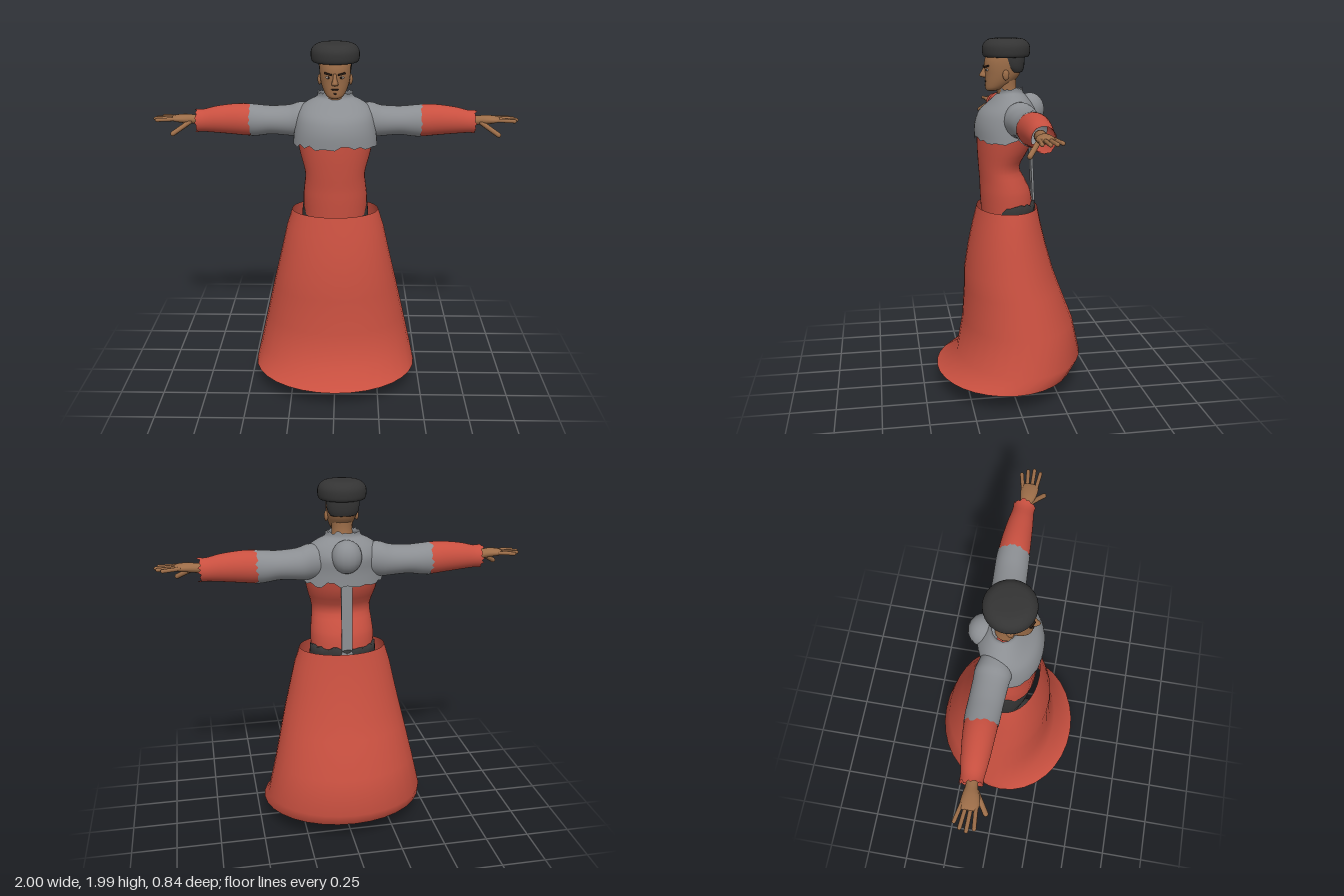
import * as THREE from 'three';

const paint = (name, color) => Object.assign(new THREE.MeshStandardMaterial({ color, side: THREE.DoubleSide }), { name });
const [X, Y, Z] = [0, 1, 2];

function spline(a, b, c, d, t) {
  return b + 0.5 * t * (c - a + t * (2 * a - 5 * b + 4 * c - d + t * (3 * (b - c) + d - a)));
}

// Loft of elliptical rings along an axis. Each section is
// [position, centre1, centre2, radius1, radius2] across the other two axes.
function loft(axis, sections, { sides = 24, steps = 3, flip = 1, close = false, start = 0, end = 0, floor = -9 } = {}) {
  const one = (axis + 2) % 3, two = (axis + 1) % 3;
  const at = i => sections[Math.min(sections.length - 1, Math.max(0, i))];
  const rings = [];
  for (let i = 0; i < sections.length - 1; i++) {
    for (let k = 0; k < steps; k++) {
      rings.push(at(i).map((_, j) => spline(at(i - 1)[j], at(i)[j], at(i + 1)[j], at(i + 2)[j], k / steps)));
    }
  }
  rings.push(at(sections.length));
  const points = [], index = [];
  rings.forEach(([p, c1, c2, r1, r2], r) => {
    const ragged = r === 0 ? start : r === rings.length - 1 ? end : 0;
    for (let i = 0; i < sides; i++) {
      const a = i / sides * Math.PI * 2, v = [0, 0, 0];
      v[axis] = flip * (p + ragged * Math.sin(i * i * 1.7 + i * 2.4));
      v[one] = c1 + r1 * Math.cos(a);
      v[two] = c2 + r2 * Math.sin(flip * a);
      v[1] = Math.max(v[1], floor);
      points.push(...v);
      if (r) {
        const n = (i + 1) % sides, lo = (r - 1) * sides, hi = r * sides;
        index.push(lo + i, hi + i, lo + n, lo + n, hi + i, hi + n);
      }
    }
  });
  if (close) {
    const last = (rings.length - 1) * sides;
    [[rings[0], 0], [rings.at(-1), last]].forEach(([ring, base], e) => {
      const v = [0, 0, 0], m = points.length / 3;
      v[axis] = flip * ring[0]; v[one] = ring[1]; v[two] = ring[2];
      v[1] = Math.max(v[1], floor);
      points.push(...v);
      for (let i = 0; i < sides; i++) {
        const n = (i + 1) % sides;
        index.push(m, ...(e ? [base + n, base + i] : [base + i, base + n]));
      }
    });
  }
  const g = new THREE.BufferGeometry();
  g.setAttribute('position', new THREE.Float32BufferAttribute(points, 3));
  g.setIndex(index);
  g.computeVertexNormals();
  return g;
}

function ball(x, y, z, rx, ry, rz) {
  return new THREE.SphereGeometry(1, 16, 12).scale(rx, ry, rz).translate(x, y, z);
}

function finger(a, b, r) {
  const from = new THREE.Vector3(...a), to = new THREE.Vector3(...b), dir = to.clone().sub(from);
  const turn = new THREE.Quaternion().setFromUnitVectors(new THREE.Vector3(0, 1, 0), dir.clone().normalize());
  const mid = from.add(to).multiplyScalar(0.5);
  return new THREE.CapsuleGeometry(r, dir.length() - 2 * r, 4, 8).applyQuaternion(turn).translate(mid.x, mid.y, mid.z);
}

export function createModel() {
  const model = new THREE.Group();
  const red = paint('red cloth', 0xc95040), grey = paint('grey cloth', 0x8b8e92);
  const black = paint('black felt', 0x343434), skin = paint('skin', 0x9c6d48);
  const ink = paint('dark features', 0x2a1d16), white = paint('eye white', 0xd8d0c8);
  const add = (name, geometry, material) => {
    const mesh = new THREE.Mesh(geometry, material);
    mesh.name = name;
    model.add(mesh);
    return mesh;
  };

  // Skirt: height, front, back and half width
  const skirt = [[0.115, 0.42, -0.37, 0.47], [0.2, 0.3, -0.42, 0.45], [0.4, 0.265, -0.375, 0.405],
    [0.6, 0.252, -0.295, 0.36], [0.7, 0.25, -0.258, 0.337], [0.85, 0.226, -0.215, 0.302],
    [0.97, 0.2, -0.185, 0.275], [1.07, 0.175, -0.165, 0.243]];
  add('skirt', loft(Y, skirt.map(([y, f, b, w]) => [y, 0, (f + b) / 2, w, (f - b) / 2]), { sides: 32, steps: 1 }), red);

  // Body
  add('hips', loft(Y, [[0.82, 0, 0, 0.17, 0.11], [0.95, 0, -0.005, 0.19, 0.14], [1.095, 0, -0.01, 0.183, 0.143]],
    { sides: 40, end: 0.008, close: true }), black);
  add('bodice', loft(Y, [[1.05, 0, 0.005, 0.176, 0.145], [1.15, 0, 0.014, 0.178, 0.142], [1.22, 0, 0.03, 0.171, 0.128],
    [1.3, 0, 0.05, 0.165, 0.114], [1.4, 0, 0.027, 0.192, 0.143], [1.49, 0, 0.015, 0.21, 0.156]], { sides: 32 }), red);
  add('cape', loft(Y, [[1.46, 0, 0.018, 0.23, 0.166], [1.53, 0, 0.017, 0.222, 0.166], [1.6, 0, 0.002, 0.212, 0.157],
    [1.65, 0, -0.012, 0.188, 0.118], [1.685, 0, -0.017, 0.14, 0.085], [1.705, 0, -0.017, 0.1, 0.068],
    [1.73, 0, -0.015, 0.095, 0.066]], { sides: 40, start: 0.014, end: 0.007 }), grey);
  add('backBulge', ball(0, 1.61, -0.125, 0.083, 0.09, 0.08), grey);
  const strap = add('backStrap', new THREE.BoxGeometry(0.06, 0.44, 0.012), grey);
  strap.position.set(0, 1.27, -0.136);
  strap.rotation.x = 0.05;

  for (const s of [1, -1]) {
    const side = s > 0 ? 'left' : 'right';
    // Sleeves
    add(side + 'UpperSleeve', loft(X, [[0.08, -0.03, 1.58, 0.07, 0.08], [0.19, -0.04, 1.573, 0.093, 0.095],
      [0.25, -0.045, 1.565, 0.09, 0.085], [0.35, -0.05, 1.565, 0.088, 0.078], [0.42, -0.053, 1.563, 0.088, 0.085],
      [0.475, -0.054, 1.563, 0.086, 0.09]], { sides: 32, flip: s, end: 0.011 }), grey);
    add(side + 'LowerSleeve', loft(X, [[0.42, -0.054, 1.563, 0.08, 0.08], [0.48, -0.054, 1.565, 0.083, 0.088],
      [0.56, -0.053, 1.568, 0.078, 0.084], [0.66, -0.05, 1.566, 0.068, 0.073], [0.73, -0.048, 1.56, 0.058, 0.062],
      [0.77, -0.046, 1.56, 0.06, 0.064]], { sides: 32, flip: s, end: 0.011 }), red);
    // Hands
    add(side + 'Palm', loft(X, [[0.68, -0.045, 1.565, 0.032, 0.03], [0.77, -0.042, 1.568, 0.029, 0.025],
      [0.82, -0.036, 1.573, 0.042, 0.025], [0.87, -0.035, 1.575, 0.047, 0.019], [0.895, -0.036, 1.575, 0.041, 0.012]],
      { sides: 16, flip: s, close: true }), skin);
    [[0.965, -0.094, -0.07], [0.99, -0.062, -0.048], [1, -0.028, -0.025], [0.985, 0.008, -0.003]].forEach(([tip, z, root]) =>
      add(side + 'Finger', finger([s * 0.86, 1.577, root], [s * tip, 1.573, z], 0.0105), skin));
    add(side + 'Thumb', finger([s * 0.79, 1.565, -0.02], [s * 0.895, 1.5, 0.05], 0.0135), skin);
    // Legs and shoes
    add(side + 'Leg', loft(Y, [[0.05, s * 0.135, -0.065, 0.04, 0.04], [0.2, s * 0.13, -0.06, 0.043, 0.045],
      [0.36, s * 0.125, -0.055, 0.057, 0.06], [0.52, s * 0.115, -0.03, 0.057, 0.06], [0.75, s * 0.1, -0.015, 0.078, 0.085],
      [0.95, s * 0.095, 0, 0.09, 0.105]], { sides: 16 }), black);
    add(side + 'Shoe', loft(Z, [[-0.112, 0.045, s * 0.138, 0.03, 0.03], [-0.07, 0.055, s * 0.138, 0.052, 0.046],
      [0, 0.046, s * 0.14, 0.048, 0.047], [0.07, 0.035, s * 0.145, 0.034, 0.058], [0.135, 0.027, s * 0.145, 0.023, 0.052],
      [0.172, 0.02, s * 0.145, 0.009, 0.025]], { sides: 20, close: true, floor: 0.008 }), black);
    add(side + 'SoleFront', ball(s * 0.143, 0.007, 0.075, 0.038, 0.004, 0.06), skin);
    add(side + 'SoleHeel', ball(s * 0.138, 0.007, -0.065, 0.025, 0.004, 0.03), skin);
    // Face details
    add(side + 'Ear', ball(s * 0.083, 1.803, 0.022, 0.011, 0.028, 0.018), skin);
    add(side + 'Eye', ball(s * 0.034, 1.828, 0.117, 0.015, 0.0065, 0.005), white);
    add(side + 'Iris', ball(s * 0.033, 1.828, 0.1205, 0.006, 0.006, 0.004), ink);
    const brow = add(side + 'Brow', new THREE.BoxGeometry(0.042, 0.009, 0.009), ink);
    brow.position.set(s * 0.036, 1.847, 0.121);
    brow.rotation.set(0, s * 0.4, s * 0.2);
  }

  // Head and neck
  add('neck', loft(Y, [[1.66, 0, -0.01, 0.062, 0.058], [1.73, 0, 0.008, 0.056, 0.055], [1.8, 0, 0.012, 0.06, 0.06]]), skin);
  add('head', loft(Y, [[1.715, 0, 0.088, 0.025, 0.025], [1.727, 0, 0.073, 0.047, 0.049], [1.76, 0, 0.047, 0.066, 0.077],
    [1.8, 0, 0.03, 0.078, 0.095], [1.84, 0, 0.024, 0.083, 0.104], [1.88, 0, 0.02, 0.083, 0.106],
    [1.93, 0, 0.015, 0.075, 0.095]], { close: true }), skin);
  add('nose', loft(Y, [[1.787, 0, 0.122, 0.016, 0.016], [1.797, 0, 0.126, 0.018, 0.03], [1.82, 0, 0.124, 0.011, 0.02],
    [1.85, 0, 0.118, 0.009, 0.012]], { sides: 12, close: true }), skin);
  add('mouth', ball(0, 1.766, 0.122, 0.023, 0.004, 0.005), ink);
  add('chinTuft', ball(0, 1.744, 0.122, 0.008, 0.006, 0.004), ink);
  add('hair', loft(Y, [[1.815, 0, -0.035, 0.07, 0.045], [1.84, 0, -0.024, 0.084, 0.065], [1.88, 0, -0.018, 0.089, 0.075],
    [1.93, 0, -0.01, 0.085, 0.08]], { close: true }), black);

  // Cap
  const capProfile = new THREE.SplineCurve([[0, 1.895], [0.1, 1.895], [0.123, 1.899], [0.13, 1.925], [0.126, 1.96],
    [0.1, 1.987], [0.06, 1.995], [0, 1.997]].map(p => new THREE.Vector2(...p))).getPoints(28);
  capProfile.forEach(p => { p.x = Math.max(p.x, 0); });
  add('cap', new THREE.LatheGeometry(capProfile, 32).translate(0, 0, 0.008), black);
  return model;
}
